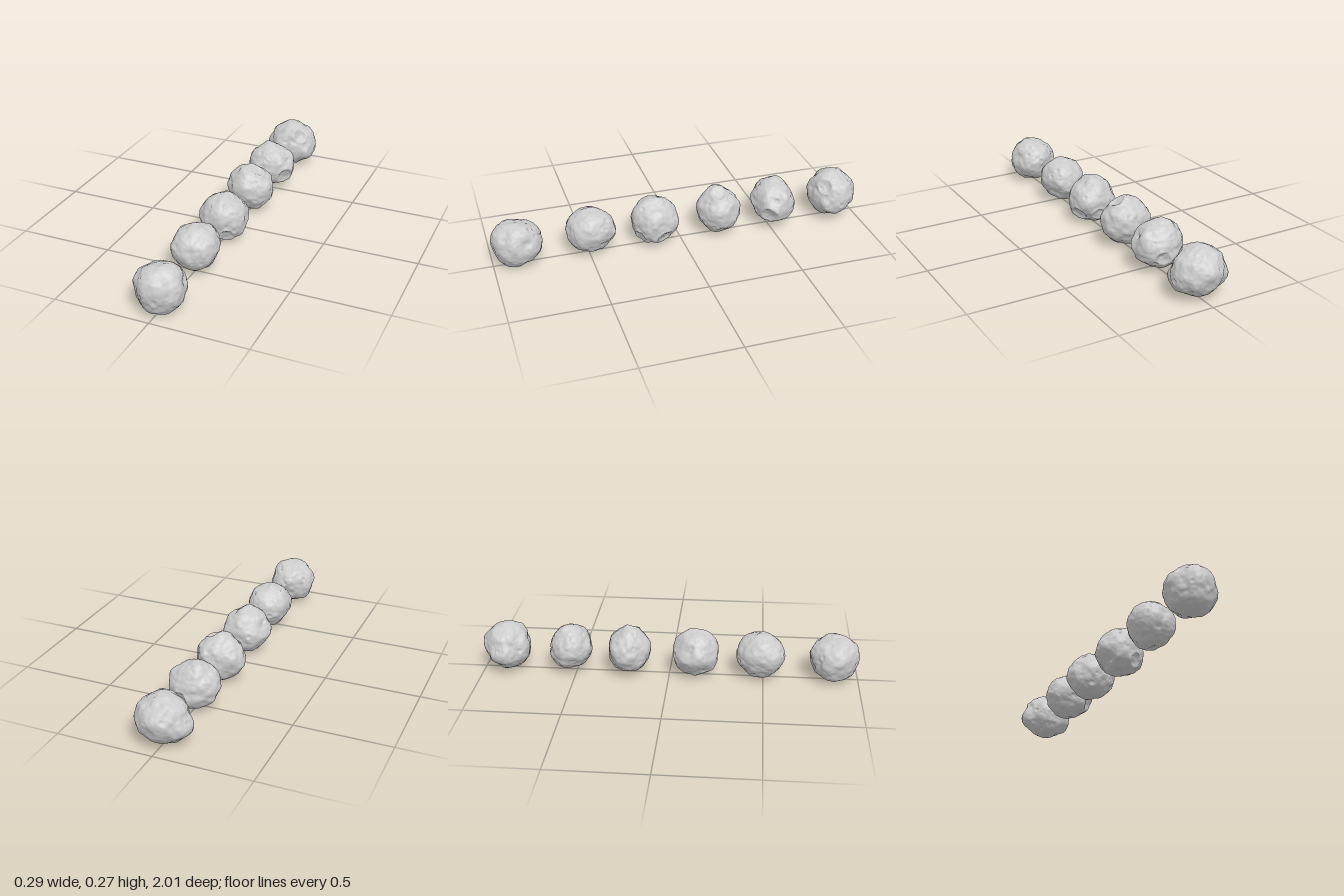
import * as THREE from 'three';
import { mergeVertices } from 'three/addons/utils/BufferGeometryUtils.js';

// Each rock: centre height and depth, radii, directions of lumps, and craters (direction, angular radius)
const ROCKS = [
  { y: 0.133, z: 0.87, radii: [0.124, 0.12, 0.124], lumps: [[0, 0.75, 0.65], [0.2, -0.9, 0.3]], craters: [] },
  { y: 0.138, z: 0.485, radii: [0.114, 0.117, 0.123], lumps: [[0.4, 0.1, -0.9], [-0.6, 0, 0.75]], craters: [] },
  { y: 0.138, z: 0.14, radii: [0.121, 0.121, 0.122], lumps: [[0.6, 0.2, -0.75], [-0.9, 0.1, 0.2]],
    craters: [[0.8, -0.54, -0.27, 0.36], [0.4, -0.55, 0.73, 0.3], [0.15, -0.45, -0.88, 0.28]] },
  { y: 0.141, z: -0.217, radii: [0.125, 0.122, 0.113], lumps: [[-0.15, 0.98, 0.2], [-0.95, 0, -0.15]],
    craters: [[0.32, 0.9, 0.12, 0.32]] },
  { y: 0.142, z: -0.53, radii: [0.127, 0.117, 0.115], lumps: [[0, 0.98, -0.1], [0.1, -0.85, -0.5]],
    craters: [[0.8, -0.3, 0.5, 0.38], [0.27, -0.3, -0.85, 0.3]] },
  { y: 0.141, z: -0.87, radii: [0.136, 0.126, 0.119], lumps: [[-1, -0.15, 0], [0.85, -0.5, 0.1], [0, 0.2, -1]],
    craters: [[0.55, 0.6, 0.6, 0.3]] },
];

// Smooth value noise in -1..1
function hash(x, y, z) {
  let h = Math.imul(x, 374761393) ^ Math.imul(y, 668265263) ^ Math.imul(z, 1274126177);
  h = Math.imul(h ^ (h >>> 13), 1274126177);
  return ((h ^ (h >>> 16)) >>> 0) / 2147483648 - 1;
}
function noise(p, freq, seed) {
  const c = p.toArray().map((v, k) => v * freq + seed * (5.3 + k * 4.1));
  const cell = c.map(Math.floor);
  const f = c.map((v, k) => THREE.MathUtils.smoothstep(v - cell[k], 0, 1));
  let sum = 0;
  for (let k = 0; k < 8; k++) {
    const corner = [k & 1, (k >> 1) & 1, k >> 2];
    const weight = corner.reduce((w, on, j) => w * (on ? f[j] : 1 - f[j]), 1);
    sum += weight * hash(...cell.map((v, j) => v + corner[j]));
  }
  return sum;
}

const unit = (x, y, z) => new THREE.Vector3(x, y, z).normalize();

// Bowl with a soft raised rim
function craterOffset(angle, radius) {
  const t = angle / radius;
  const rim = 0.08 * Math.exp(-(((t - 1.1) / 0.22) ** 2));
  const bowl = t < 1 ? 0.35 * (1 - t * t) ** 0.8 : 0;
  return radius * (rim - bowl);
}

function rockGeometry({ radii, lumps, craters }, seed) {
  const ball = new THREE.IcosahedronGeometry(1, 28);
  ball.deleteAttribute('uv');
  ball.deleteAttribute('normal');
  const geo = mergeVertices(ball);

  const lumpDirs = lumps.map((d) => unit(...d));
  const pits = craters.map(([x, y, z, radius]) => ({ dir: unit(x, y, z), radius }));
  // Scattered small pits
  for (let k = 0; k < 9; k++) {
    const dir = unit(hash(seed, k, 1), hash(seed, k, 2), hash(seed, k, 3));
    pits.push({ dir, radius: 0.08 + 0.015 * (k % 4) });
  }

  const pos = geo.attributes.position;
  const p = new THREE.Vector3();
  const size = new THREE.Vector3(...radii);
  for (let i = 0; i < pos.count; i++) {
    p.fromBufferAttribute(pos, i);
    let r = 1 + 0.08 * noise(p, 1.9, seed) + 0.04 * noise(p, 4.2, seed + 3) + 0.014 * noise(p, 9, seed + 7);
    for (const dir of lumpDirs) r += 0.09 * Math.exp(-((p.angleTo(dir) / 0.45) ** 2));
    for (const { dir, radius } of pits) r += craterOffset(p.angleTo(dir), radius);
    p.multiplyScalar(r).multiply(size);
    pos.setXYZ(i, p.x, p.y, p.z);
  }
  geo.computeVertexNormals();
  return geo;
}

export function createModel() {
  const group = new THREE.Group();
  group.name = 'asteroids';
  const material = new THREE.MeshStandardMaterial({ color: 0xcccccc });
  ROCKS.forEach((rock, i) => {
    const mesh = new THREE.Mesh(rockGeometry(rock, i + 1), material);
    mesh.name = `asteroid${i + 1}`;
    mesh.position.set(0, rock.y, rock.z);
    group.add(mesh);
  });
  return group;
}
